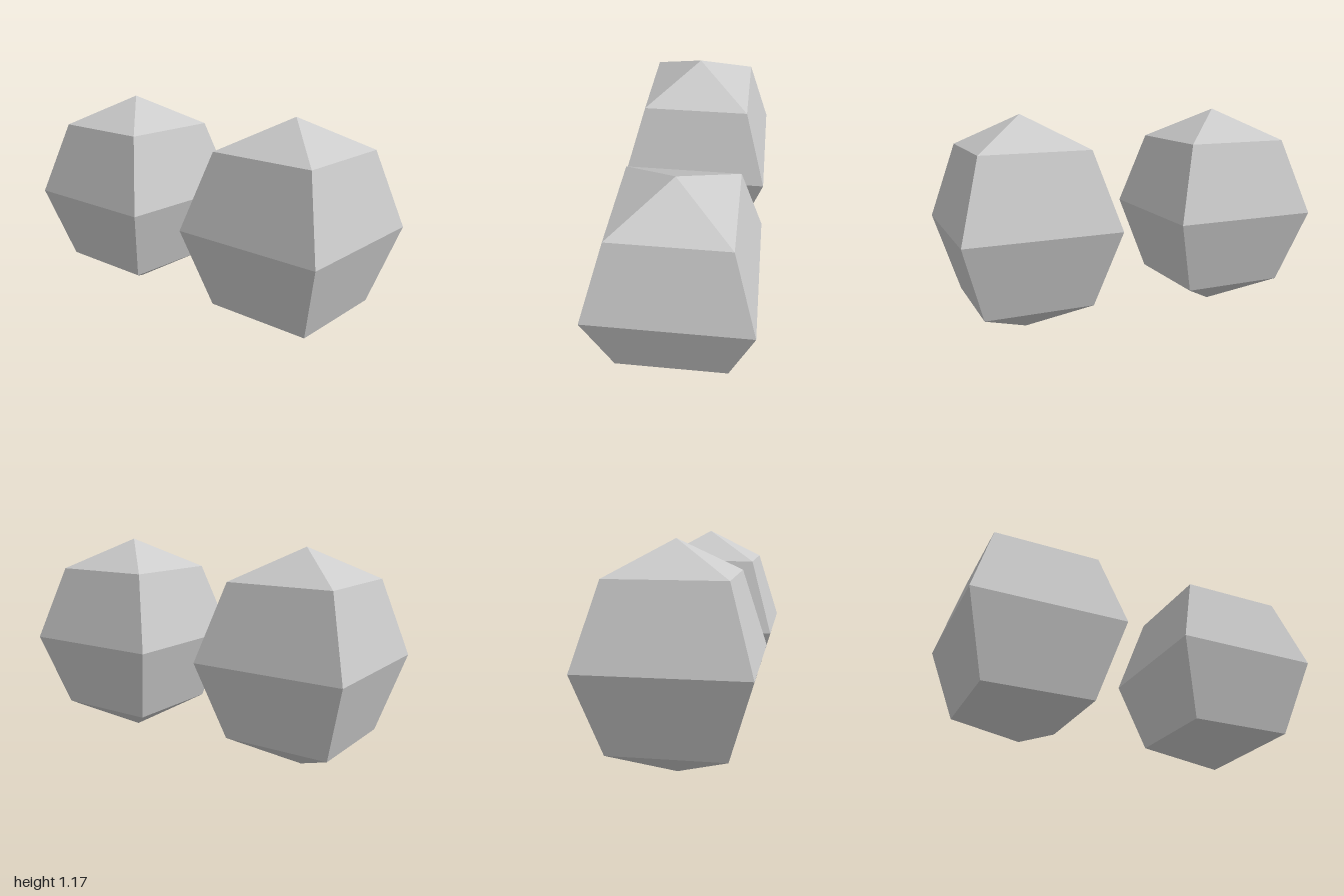
import * as THREE from 'three';

const RADIUS = 0.5858;

export function createModel() {
  const model = new THREE.Group();
  model.name = 'facetedGems';

  const material = new THREE.MeshStandardMaterial({ color: 0xcccccc, flatShading: true });

  // Four-sided, four-band sphere, turned so its flat sides face the axes
  const geometry = new THREE.SphereGeometry(RADIUS, 4, 4, Math.PI / 4);

  // Matching pair, one on each side
  for (const [name, side] of [['leftGem', 1], ['rightGem', -1]]) {
    const gem = new THREE.Mesh(geometry, material);
    gem.name = name;
    gem.position.set(side * RADIUS, RADIUS, 0);
    model.add(gem);
  }

  return model;
}
